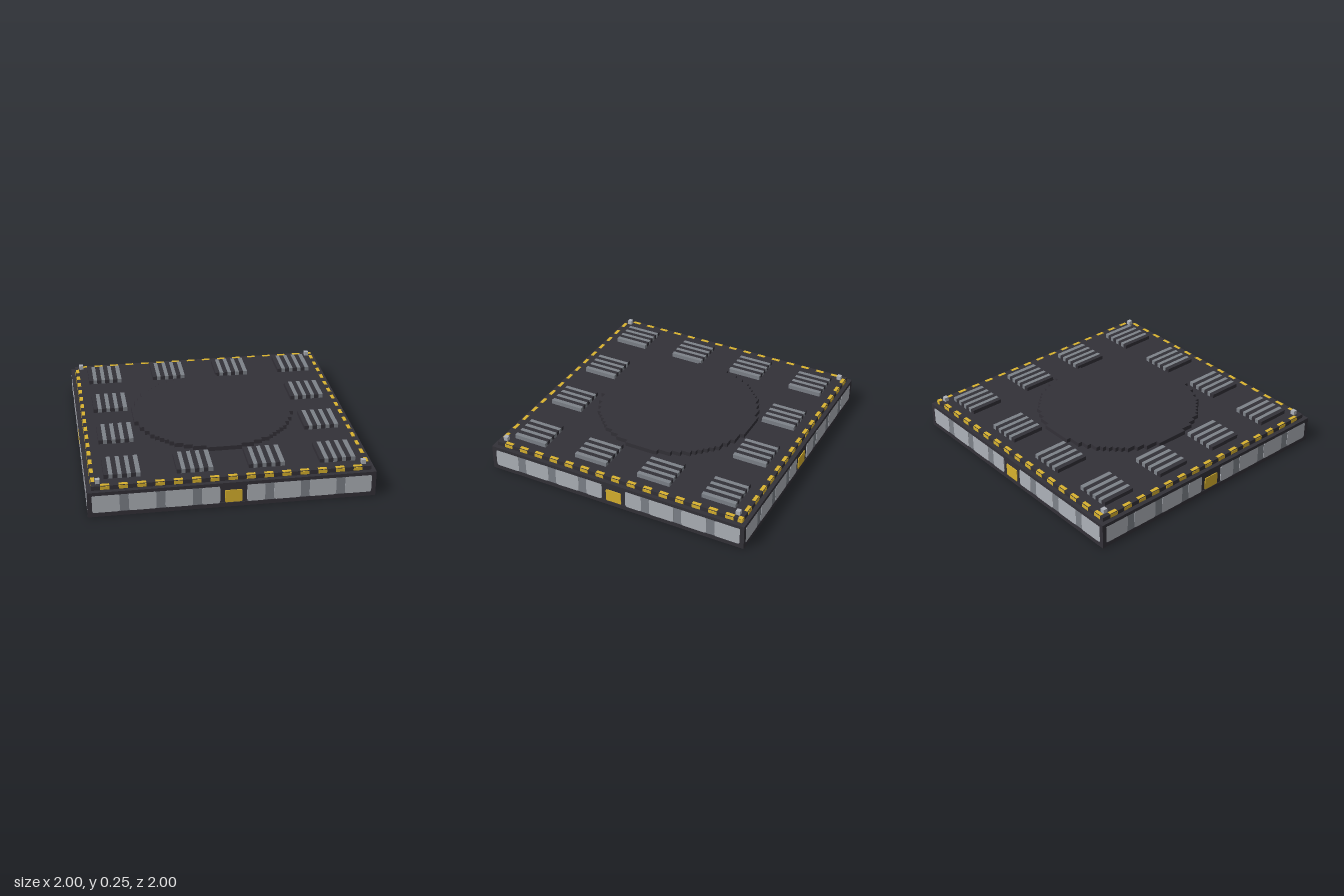
import * as THREE from 'three';

const V = 1 / 32; // grid unit used for every part

function makeMaterial(name, color) {
  const m = new THREE.MeshStandardMaterial({ color });
  m.name = name;
  return m;
}

export function createModel() {
  const dark = makeMaterial('dark metal', 0x333138);
  const light = makeMaterial('light grey', 0xadb1b8);
  const mid = makeMaterial('mid grey', 0x7d8289);
  const yellow = makeMaterial('hazard yellow', 0xd8b22e);

  const model = new THREE.Group();
  model.name = 'platform';

  // Box given by its limits on each axis
  function box(parent, name, mat, x0, x1, y0, y1, z0, z1) {
    const mesh = new THREE.Mesh(new THREE.BoxGeometry(x1 - x0, y1 - y0, z1 - z0), mat);
    mesh.position.set((x0 + x1) / 2, (y0 + y1) / 2, (z0 + z1) / 2);
    mesh.name = name;
    parent.add(mesh);
  }

  // Thin plate with rounded corners, facing +z with its front at z = 1
  function roundedPlate(parent, name, mat, x0, x1, y0, y1, r) {
    const s = new THREE.Shape();
    s.moveTo(x0 + r, y0);
    s.lineTo(x1 - r, y0);
    s.quadraticCurveTo(x1, y0, x1, y0 + r);
    s.lineTo(x1, y1 - r);
    s.quadraticCurveTo(x1, y1, x1 - r, y1);
    s.lineTo(x0 + r, y1);
    s.quadraticCurveTo(x0, y1, x0, y1 - r);
    s.lineTo(x0, y0 + r);
    s.quadraticCurveTo(x0, y0, x0 + r, y0);
    const geo = new THREE.ExtrudeGeometry(s, { depth: 0.006, bevelEnabled: false, curveSegments: 4 });
    const mesh = new THREE.Mesh(geo, mat);
    mesh.position.z = 0.994;
    mesh.name = name;
    parent.add(mesh);
  }

  // Slab, underside plate and raised deck
  box(model, 'baseSlab', dark, -0.994, 0.994, 0.003, 6 * V, -0.994, 0.994);
  box(model, 'undersidePlate', light, -31 * V, 31 * V, 0, 0.006, -31 * V, 31 * V);
  box(model, 'deck', dark, -31 * V, 31 * V, 6 * V, 7 * V, -31 * V, 31 * V);

  // Panelled walls and the dashed hazard line above them, on all four sides
  const cuts = [[3, 7], [9, 15], [17, 23], [25, 31]];
  const e = 0.002;
  const gap = 0.1 * V;
  for (let i = 0; i < 4; i++) {
    const wall = new THREE.Group();
    wall.name = ['frontWall', 'leftWall', 'backWall', 'rightWall'][i];
    wall.rotation.y = i * Math.PI / 2;
    box(wall, 'lowerRail', dark, -1, 1, 0, V, 0.99, 1);
    box(wall, 'upperRail', dark, -1, 1, 5.2 * V, 6 * V, 0.99, 1);
    for (const s of [-1, 1]) {
      box(wall, 'cornerPost', dark, s * 31.5 * V - V / 2, s * 31.5 * V + V / 2, V, 5.2 * V, 0.99, 1);
      box(wall, 'panelBacking', mid, s * 17 * V - 10.5 * V, s * 17 * V + 10.5 * V, V, 5.2 * V, 0.99, 0.997);
      for (const [a, b] of cuts) {
        roundedPlate(wall, 'wallPanel', light, Math.min(s * a, s * b) * V, Math.max(s * a, s * b) * V, V, 5.2 * V, 0.018);
      }
    }
    roundedPlate(wall, 'wallMarker', yellow, -1.9 * V, 1.9 * V, 1.1 * V, 4.1 * V, 0.008);

    // The back line is shifted by one unit and ends on a corner
    const dashes = [];
    for (let c = -28; c <= 28; c += 4) dashes.push(i === 2 ? [c, c + 2] : [c - 1, c + 1]);
    if (i === 2) dashes.push([-31, -30]);
    if (i === 1) dashes.push([30, 31]);
    for (const [a, b] of dashes) {
      box(wall, 'topDash', yellow, a * V, b * V, 7 * V - e, 7 * V + e, 30 * V + gap, 31 * V - gap);
      box(wall, 'sideDash', yellow, a * V, b * V, 6 * V + gap, 7 * V - gap, 31 * V - e, 31 * V + e);
    }
    model.add(wall);
  }

  // Stepped round landing pad
  const R = 19;
  const outline = [];
  for (let k = -R; k < R; k++) {
    const w = Math.floor(Math.sqrt(R * R - (k + 0.5) ** 2) + 0.5);
    outline.push([w, k], [w, k + 1]);
  }
  const mirrored = outline.map(([x, z]) => [-x, z]).reverse();
  const discShape = new THREE.Shape(
    [...outline, ...mirrored].map(([x, z]) => new THREE.Vector2(x * V, z * V)));
  const disc = new THREE.Mesh(
    new THREE.ExtrudeGeometry(discShape, { depth: V, bevelEnabled: false }), dark);
  disc.rotation.x = -Math.PI / 2;
  disc.position.y = 7 * V;
  disc.name = 'landingDisc';
  model.add(disc);

  // Twelve ribbed vents around the disc
  const starts = [-28, -12, 4, 20];
  starts.forEach((x, i) => starts.forEach((z, j) => {
    if (i % 3 !== 0 && j % 3 !== 0) return;
    const vent = new THREE.Group();
    vent.name = 'vent';
    box(vent, 'ventPad', dark, x * V, (x + 8) * V, 7 * V, 8 * V - e, z * V, (z + 8) * V);
    for (let k = 1; k < 8; k += 2) {
      const outer = k === 7 ? e : -gap / 2; // last rib covers the pad's side
      box(vent, 'ventRib', mid, (x + k) * V + gap / 2, (x + k + 1) * V + outer,
        7 * V, 8 * V, z * V - e, (z + 8) * V + e);
    }
    model.add(vent);
  }));

  // Corner bolts
  for (const sx of [-1, 1]) {
    for (const sz of [-1, 1]) {
      const cx = sx * 29.5 * V, cz = sz * 29.5 * V;
      box(model, 'cornerBolt', light, cx - V / 2, cx + V / 2, 7 * V, 8 * V, cz - V / 2, cz + V / 2);
    }
  }
  return model;
}
